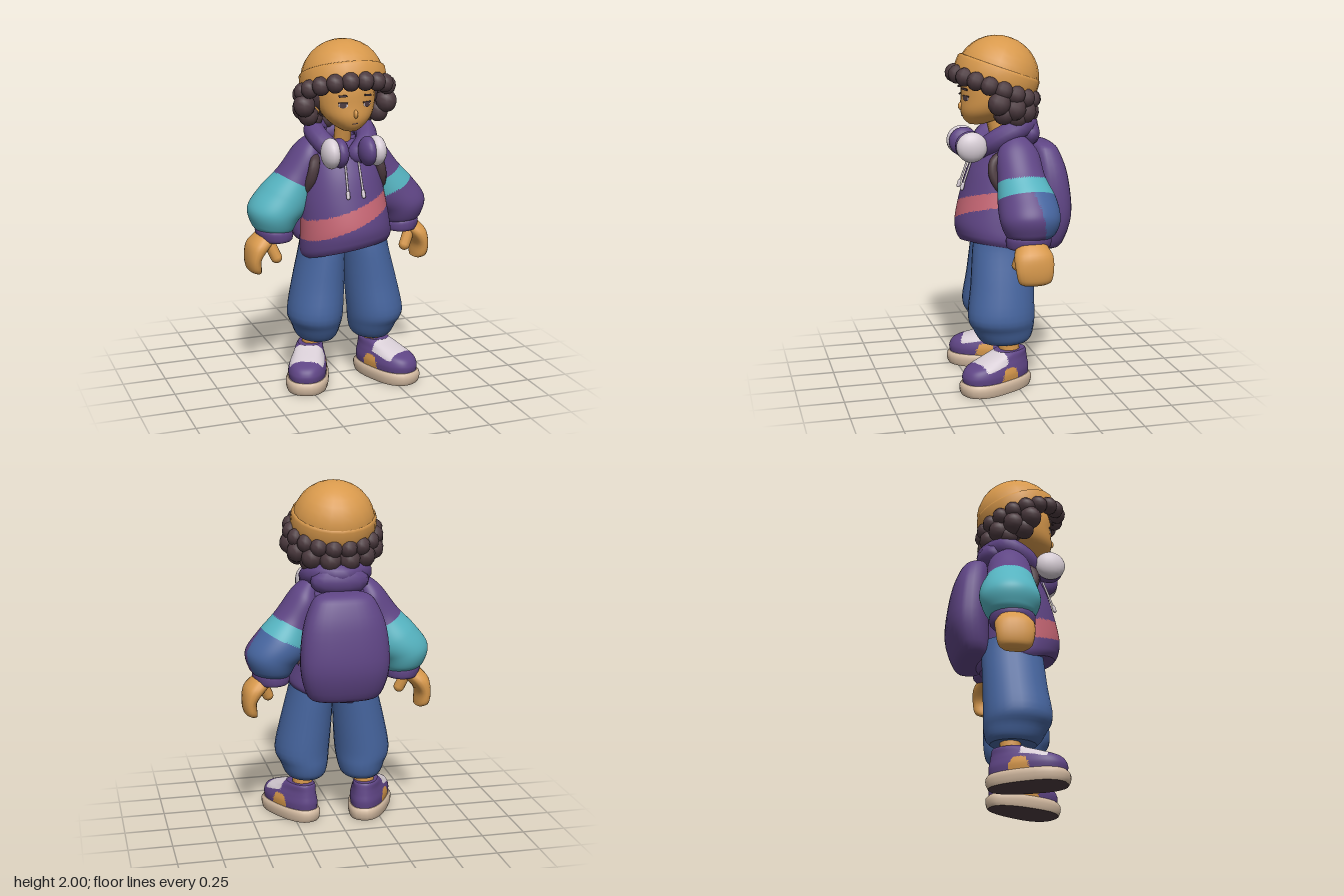
import * as THREE from 'three';

const mat = (name, color) => {
  const m = new THREE.MeshStandardMaterial({ color });
  m.name = name;
  return m;
};
const M = {
  purple: mat('purple cloth', 0x5f4585),
  teal: mat('teal cloth', 0x55b3c0),
  blue: mat('blue denim', 0x46659f),
  tan: mat('warm tan', 0xd8994c),
  red: mat('rose stripe', 0xc66674),
  beige: mat('beige rubber', 0xd2b9a0),
  white: mat('pale grey', 0xd8ced6),
  hair: mat('dark brown', 0x4d3b40),
};

const mesh = (name, geo, material, x = 0, y = 0, z = 0) => {
  const m = new THREE.Mesh(geo, material);
  m.name = name;
  m.position.set(x, y, z);
  return m;
};

const spline = (a, b, c, d, t) =>
  0.5 * (2 * b + (c - a) * t + (2 * a - 5 * b + 4 * c - d) * t * t + (3 * b - a - 3 * c + d) * t ** 3);

// Closed skin through rings [cx, cy, cz, rx, rz, slopeX, slopeZ], listed from bottom to top.
// pick is one material, or a rule choosing the material at a face's centre.
function loft(name, rings, pick, { seg = 20, sub = 4, p = 1, warp } = {}) {
  const rows = [];
  const at = (i) => rings[Math.max(0, Math.min(rings.length - 1, i))];
  const ring = (r, k = 1) => {
    const row = [];
    for (let j = 0; j < seg; j++) {
      const a = (j / seg) * Math.PI * 2, c = Math.cos(a), s = Math.sin(a);
      const dx = k * r[3] * Math.sign(c) * Math.abs(c) ** p;
      const dz = k * r[4] * Math.sign(s) * Math.abs(s) ** p;
      const v = new THREE.Vector3(r[0] + dx, r[1] + r[5] * dx + r[6] * dz, r[2] + dz);
      if (warp) warp(v);
      row.push(v);
    }
    rows.push(row);
  };
  const sample = (i, t) => [0, 1, 2, 3, 4, 5, 6].map((k) =>
    spline(at(i - 1)[k] || 0, at(i)[k] || 0, at(i + 1)[k] || 0, at(i + 2)[k] || 0, t));
  const first = sample(0, 0), last = sample(rings.length - 1, 0);
  ring(first, 0); ring(first);
  for (let i = 0; i < rings.length - 1; i++)
    for (let t = 0; t < sub; t++) ring(sample(i, t / sub));
  ring(last); ring(last); ring(last, 0);

  const pts = rows.flat(), byMat = new Map(), mid = new THREE.Vector3();
  const face = (...f) => {
    mid.set(0, 0, 0);
    f.forEach((i) => mid.addScaledVector(pts[i], 1 / 3));
    const m = typeof pick === 'function' ? pick(mid.x, mid.y, mid.z) : pick;
    if (!byMat.has(m)) byMat.set(m, []);
    byMat.get(m).push(...f);
  };
  for (let i = 0; i < rows.length - 1; i++) {
    if (i === 1 || i === rows.length - 3) continue; // coincident rows: hard rim between wall and cap
    for (let j = 0; j < seg; j++) {
      const a = i * seg + j, b = i * seg + ((j + 1) % seg);
      face(a, a + seg, b);
      face(b, a + seg, b + seg);
    }
  }
  const geo = new THREE.BufferGeometry().setFromPoints(pts);
  const index = [], mats = [];
  for (const [m, list] of byMat) {
    geo.addGroup(index.length, list.length, mats.length);
    for (const i of list) index.push(i);
    mats.push(m);
  }
  geo.setIndex(index);
  geo.computeVertexNormals();
  return mesh(name, geo, mats.length > 1 ? mats : mats[0]);
}
// mirrors ring centres and slopes to the side s
const sided = (s, rings) => rings.map(([x, y, z, rx, rz, slope = 0]) => [x * s, y, z, rx, rz, slope * s, 0]);

const ball = (name, material, x, y, z, rx, ry = rx, rz = rx, seg = 14) => {
  const m = mesh(name, new THREE.SphereGeometry(1, seg, Math.round(seg * 0.7)), material, x, y, z);
  m.scale.set(rx, ry, rz);
  return m;
};
const rod = (name, material, a, b, r) => {
  const p = new THREE.Vector3(...a), q = new THREE.Vector3(...b), d = q.clone().sub(p);
  const m = mesh(name, new THREE.CapsuleGeometry(r, d.length(), 4, 10), material);
  m.position.copy(p).add(q).multiplyScalar(0.5);
  m.quaternion.setFromUnitVectors(new THREE.Vector3(0, 1, 0), d.normalize());
  return m;
};
const tube = (name, material, pts, r) => mesh(name, new THREE.TubeGeometry(
  new THREE.CatmullRomCurve3(pts.map((v) => new THREE.Vector3(...v))), 32, r, 10), material);

function makeHead() {
  const g = new THREE.Group();
  g.name = 'head';
  g.add(loft('face', [
    [0, 1.503, 0.175, 0.04, 0.045], [0, 1.53, 0.15, 0.085, 0.1], [0, 1.58, 0.125, 0.135, 0.143],
    [0, 1.65, 0.1, 0.163, 0.165], [0, 1.75, 0.09, 0.165, 0.17], [0, 1.84, 0.07, 0.13, 0.15],
  ], M.tan, { seg: 28 }));
  g.add(rod('neck', M.tan, [0, 1.38, 0.035], [0, 1.54, 0.075], 0.05));
  g.add(ball('nose', M.tan, 0, 1.605, 0.262, 0.013, 0.025, 0.022));
  g.add(mesh('mouth', new THREE.BoxGeometry(0.03, 0.005, 0.008), M.hair, 0, 1.552, 0.259));
  for (const s of [-1, 1]) {
    const eye = new THREE.Group();
    eye.name = 'eye';
    eye.position.set(s * 0.07, 1.655, 0.254);
    eye.rotation.y = s * 0.43;
    const white = mesh('eyeWhite', new THREE.CircleGeometry(0.027, 16), M.white);
    white.scale.y = 0.5;
    const iris = mesh('iris', new THREE.CircleGeometry(0.02, 14), M.hair, 0, 0, 0.002);
    iris.scale.y = 0.75;
    eye.add(white, iris);
    eye.add(mesh('lash', new THREE.BoxGeometry(0.054, 0.008, 0.006), M.hair, 0, 0.013, 0));
    const brow = mesh('brow', new THREE.BoxGeometry(0.046, 0.011, 0.008), M.hair, 0, 0.053, 0.008);
    brow.rotation.z = -s * 0.1;
    eye.add(brow);
    g.add(eye, ball('ear', M.tan, s * 0.162, 1.62, 0.07, 0.02, 0.04, 0.03));
  }

  // hat and hair share one backward tilt
  const top = new THREE.Group();
  top.name = 'hatAndHair';
  top.position.set(0, 1.77, 0.06);
  top.rotation.x = -0.34;
  const dome = mesh('hatDome', new THREE.SphereGeometry(0.238, 20, 8, 0, Math.PI * 2, 0, Math.PI / 2), M.tan, 0, 0, -0.005);
  dome.scale.y = 0.965;
  top.add(dome);
  top.add(loft('hatBrim', [[0, -0.048, 0, 0.232, 0.232], [0, -0.038, 0, 0.245, 0.245],
    [0, 0.04, 0, 0.244, 0.244], [0, 0.056, 0, 0.23, 0.23]], M.tan, { seg: 24, sub: 2 }));
  top.add(ball('hairMass', M.hair, 0, -0.08, -0.06, 0.215, 0.13, 0.17));
  // rows of curls; lower rows stop at the temples and leave the face open
  const curls = (n, y, R, r, limit) => {
    for (let i = 0; i < n; i++) {
      const a = ((i + 0.5) / n) * Math.PI * 2, x = Math.sin(a) * R, z = Math.cos(a) * R;
      if (z < limit) top.add(ball('curl', M.hair, x * 1.04, y, z, r, r * 1.05, r, 10));
    }
  };
  curls(18, -0.06, 0.234, 0.051, 1);
  curls(14, -0.135, 0.234, 0.063, 0.06);
  curls(12, -0.18, 0.208, 0.06, 0.02);
  g.add(top);
  return g;
}

function makeHoodie() {
  const g = new THREE.Group();
  g.name = 'hoodie';
  const stripe = (x, y, z) =>
    z > 0.02 && y > 0.965 + 0.38 * x && y < 1.07 + 0.32 * x ? M.red : M.purple;
  g.add(loft('torso', [
    [0.015, 0.792, 0.06, 0.25, 0.215, 0.15, 0.2], [0.015, 0.832, 0.06, 0.265, 0.237, 0.14, 0.19],
    [0.01, 0.93, 0.065, 0.26, 0.24, 0.09, 0.12], [0, 1.1, 0.055, 0.245, 0.215, 0.03, 0.05],
    [0, 1.25, 0.035, 0.22, 0.19], [0, 1.37, 0, 0.185, 0.155], [0, 1.43, -0.02, 0.12, 0.1],
  ], stripe, { seg: 140, sub: 14 }));
  g.add(tube('hoodCollar', M.purple, [[-0.06, 1.36, 0.15], [-0.13, 1.425, 0.09], [-0.14, 1.487, -0.03],
    [0, 1.488, -0.12], [0.14, 1.487, -0.03], [0.13, 1.425, 0.09], [0.06, 1.36, 0.15]], 0.062));
  g.add(ball('hoodBack', M.purple, 0, 1.45, -0.1, 0.17, 0.09, 0.085));

  for (const s of [-1, 1]) {
    g.add(ball('collarEnd', M.purple, s * 0.06, 1.36, 0.15, 0.062));
    const paint = (x, y, z) => {
      const along = 0.45 * (s * x - 0.17) + 0.89 * (1.38 - y);
      if (along < (s > 0 ? 0.2 : 0.21)) return M.purple;
      if (s < 0 || along < 0.295) return M.teal;
      return z < -0.04 - 0.22 * (along - 0.3) ? M.blue : M.purple;
    };
    g.add(loft('sleeve', sided(s, [
      [0.388, 0.9, -0.03, 0.09, 0.1, 0.1], [0.395, 0.935, -0.035, 0.12, 0.14, 0.15],
      [0.39, 1.01, -0.035, 0.143, 0.167, 0.3], [0.32, 1.1, -0.035, 0.133, 0.165, 0.5],
      [0.25, 1.22, -0.02, 0.1, 0.135, 0.55], [0.185, 1.34, -0.015, 0.07, 0.12, 0.85],
      [0.15, 1.42, -0.01, 0.035, 0.07, 1],
    ]), paint, { seg: 64, sub: 14 }));
    g.add(loft('cuff', sided(s, [
      [0.382, 0.855, -0.025, 0.08, 0.1, 0], [0.383, 0.866, -0.025, 0.1, 0.123, 0],
      [0.388, 0.91, -0.025, 0.108, 0.128, 0.05], [0.39, 0.935, -0.025, 0.095, 0.115, 0.1],
    ]), M.purple));
    g.add(rod('drawstring', M.white, [s * 0.04, 1.32, 0.21], [s * 0.045, 1.16, 0.268], 0.006));
    g.add(rod('drawstringTip', M.white, [s * 0.045, 1.165, 0.268], [s * 0.046, 1.14, 0.275], 0.011));
  }
  return g;
}

function makeHand(s) {
  const g = new THREE.Group();
  g.name = s > 0 ? 'leftHand' : 'rightHand';
  // curled fingers held together, running up into the palm and wrist
  g.add(loft('palmAndFingers', sided(s, [
    [0.495, 0.672, -0.03, 0.025, 0.06], [0.51, 0.695, -0.03, 0.038, 0.093],
    [0.515, 0.76, -0.028, 0.042, 0.107], [0.485, 0.83, -0.028, 0.062, 0.11, 0.1],
    [0.44, 0.88, -0.028, 0.068, 0.088, 0.1], [0.4, 0.92, -0.028, 0.065, 0.075],
  ]), M.tan, { p: 0.9 }));
  g.add(rod('thumb', M.tan, [s * 0.43, 0.845, 0.025], [s * 0.395, 0.765, 0.04], 0.033));
  return g;
}

function makeLeg(s) {
  const g = new THREE.Group();
  g.name = s > 0 ? 'leftLeg' : 'rightLeg';
  g.position.set(0.012, 0, s > 0 ? 0 : -0.045);
  g.add(loft('trouserLeg', sided(s, [
    [0.162, 0.26, 0.058, 0.102, 0.13], [0.163, 0.285, 0.058, 0.122, 0.153], [0.167, 0.34, 0.067, 0.14, 0.175],
    [0.177, 0.42, 0.082, 0.16, 0.193], [0.153, 0.6, 0.07, 0.15, 0.183], [0.124, 0.8, 0.06, 0.13, 0.175],
    [0.12, 0.88, 0.06, 0.125, 0.16],
  ]), M.blue, { seg: 24 }));
  g.add(rod('ankle', M.tan, [s * 0.185, 0.15, 0.035], [s * 0.18, 0.3, 0.04], 0.06));

  const shoe = new THREE.Group();
  shoe.name = 'shoe';
  shoe.position.set(s * 0.205, 0, 0.062);
  shoe.rotation.y = s * 0.42;
  // narrower heel, broad toe
  const warp = (v) => { v.x *= 0.9 + 0.62 * Math.min(0.3, Math.max(0, v.z + 0.1)); };
  shoe.add(loft('sole', [
    [0, 0, 0.07, 0.112, 0.22], [0, 0.02, 0.07, 0.118, 0.23],
    [0, 0.055, 0.07, 0.12, 0.232], [0, 0.073, 0.07, 0.108, 0.217],
  ], (x, y) => (y < 0.0005 ? M.hair : M.beige), { seg: 28, sub: 2, p: 0.8, warp }));
  const paint = (x, y, z) => {
    if (z > 0.05 && z < 0.2 && y > 0.14 && y > 0.165 - 0.2 * (z - 0.05)) return M.white;
    if (Math.abs(x) > 0.055 && y < 0.145 && Math.hypot(z - 0.045, (y - 0.08) * 0.8) < 0.058) return M.tan;
    return M.purple;
  };
  shoe.add(loft('shoeUpper', [
    [0, 0.07, 0.07, 0.105, 0.214], [0, 0.11, 0.07, 0.108, 0.217], [0, 0.15, 0.06, 0.099, 0.2],
    [0, 0.18, 0.025, 0.088, 0.16], [0, 0.21, -0.02, 0.08, 0.11], [0, 0.222, -0.028, 0.07, 0.095],
  ], paint, { seg: 96, sub: 10, p: 0.85, warp }));
  g.add(shoe);
  return g;
}

function makeBackpack() {
  const g = new THREE.Group();
  g.name = 'backpack';
  g.add(loft('pack', [
    [0, 0.782, -0.2, 0.14, 0.06], [0, 0.815, -0.21, 0.21, 0.098], [0, 0.98, -0.235, 0.254, 0.122],
    [0, 1.2, -0.225, 0.238, 0.112], [0, 1.345, -0.205, 0.185, 0.088, 0, 0.1], [0, 1.39, -0.195, 0.135, 0.06, 0, 0.1],
    [0, 1.4, -0.19, 0.06, 0.025, 0, 0.1],
  ], M.purple, { seg: 32, p: 0.78 }));
  for (const s of [-1, 1])
    g.add(tube('strap', M.hair, [[s * 0.165, 1.35, 0.05], [s * 0.19, 1.31, 0.12],
      [s * 0.21, 1.23, 0.125], [s * 0.228, 1.1, 0.03], [s * 0.22, 0.98, -0.14]], 0.03));
  return g;
}

function makeHeadphones() {
  const g = new THREE.Group();
  g.name = 'headphones';
  for (const s of [-1, 1]) {
    g.add(ball('earCup', M.white, s * 0.134, 1.389, 0.235, 0.054, 0.086, 0.089, 18));
    g.add(ball('earPad', M.purple, s * 0.084, 1.388, 0.234, 0.05, 0.084, 0.086, 18));
  }
  return g;
}

export function createModel() {
  const model = new THREE.Group();
  model.name = 'character';
  model.add(makeHead(), makeHoodie(), makeBackpack(), makeHeadphones());
  for (const s of [-1, 1]) model.add(makeHand(s), makeLeg(s));
  return model;
}
